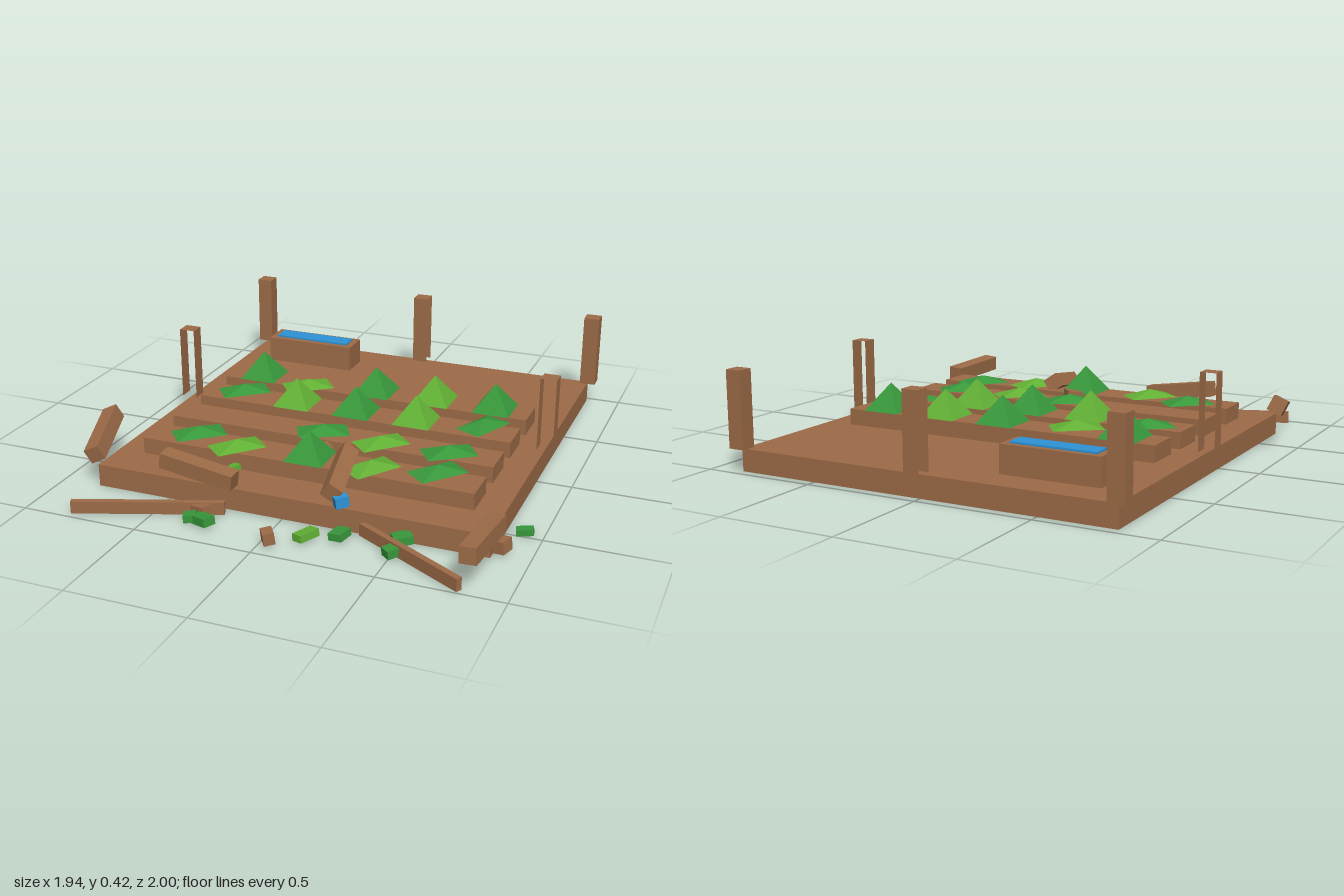
import * as THREE from 'three';

export function createModel() {
  const group = new THREE.Group();
  const mat = (name, color) => {
    const m = new THREE.MeshStandardMaterial({ color, flatShading: true, side: THREE.DoubleSide });
    m.name = name;
    return m;
  };
  const wood = mat('wood brown', 0x9c6b47);
  const dark = mat('leaf green', 0x38973b);
  const light = mat('lime green', 0x62b035);
  const water = mat('water blue', 0x2d93d6);

  const add = (name, geometry, material, x, y, z) => {
    const mesh = new THREE.Mesh(geometry, material);
    mesh.name = name;
    mesh.position.set(x, y, z);
    group.add(mesh);
    return mesh;
  };
  // Box given by its limits on each axis
  const block = (name, m, x0, x1, y0, y1, z0, z1) =>
    add(name, new THREE.BoxGeometry(x1 - x0, y1 - y0, z1 - z0), m, (x0 + x1) / 2, (y0 + y1) / 2, (z0 + z1) / 2);
  // Box that keeps only some sides: 0 +x, 1 -x, 2 +y, 3 -y, 4 +z, 5 -z
  const openBox = (w, h, d, sides) => {
    const g = new THREE.BoxGeometry(w, h, d);
    const all = Array.from(g.index.array);
    g.setIndex(sides.flatMap((s) => all.slice(s * 6, s * 6 + 6)));
    g.clearGroups();
    return g;
  };

  // Ground slab, hollow underneath
  add('groundSlab', openBox(1.68, 0.095, 1.68, [0, 1, 2, 4, 5]), wood, 0.012, 0.0475, -0.128);

  // Raised planting beds
  for (const z of [-0.315, -0.058, 0.2, 0.458]) {
    block('plantingBed', wood, -0.71, 0.735, 0.095, 0.165, z - 0.081, z + 0.081);
  }

  // Water trough
  block('trough', wood, -0.69, -0.265, 0.095, 0.212, -0.823, -0.687);
  block('troughWater', water, -0.66, -0.295, 0.212, 0.22, -0.797, -0.715);

  // Standing fence posts; the middle ones are open on two sides
  const full = [0, 1, 2, 3, 4, 5];
  const posts = [
    [-0.83, -0.967, full], [0.855, -0.967, full], [0.012, -0.967, [2, 4, 5]],
    [-0.83, -0.125, [0, 1, 2]], [0.855, -0.125, [0, 1, 2]],
  ];
  for (const [x, z, sides] of posts) {
    add('fencePost', openBox(0.07, 0.325, 0.067, sides), wood, x, 0.26, z);
  }

  // Four-sided plant cone, sides facing the axes
  const pyramid = (w, h, d) => {
    const g = new THREE.ConeGeometry(Math.SQRT1_2, 1, 4, 1);
    g.rotateY(Math.PI / 4);
    g.translate(0, 0.5, 0);
    g.scale(w, h, d);
    return g;
  };
  const upright = [
    [-0.547, -0.315, dark], [0.014, -0.315, dark], [0.293, -0.315, light], [0.573, -0.315, dark],
    [-0.267, -0.058, light], [0.014, -0.058, dark], [0.293, -0.058, light], [0.014, 0.458, dark],
  ];
  for (const [x, z, m] of upright) add('plant', pyramid(0.167, 0.118, 0.167), m, x, 0.164, z);

  // Trampled plants: x, z, heading in degrees
  const trampled = [
    [-0.303, -0.26, 38, light], [-0.547, -0.1, 40, dark], [0.58, -0.107, 66, dark],
    [-0.036, 0.2, 28, dark], [0.235, 0.222, 46, light], [0.527, 0.212, 35, dark],
    [-0.515, 0.41, 42, dark], [-0.305, 0.475, 48, light], [0.282, 0.465, 56, light], [0.543, 0.407, 50, dark],
  ];
  for (const [x, z, deg, m] of trampled) {
    const plant = add('trampledPlant', pyramid(0.215, 0.033, 0.125), m, x, 0.166, z);
    plant.rotation.y = THREE.MathUtils.degToRad(deg);
  }

  // Timber running between two points
  const timber = (name, a, b, w, h, roll = 0) => {
    const p = new THREE.Vector3(...a), q = new THREE.Vector3(...b);
    const mesh = add(name, new THREE.BoxGeometry(w, h, p.distanceTo(q)), wood, 0, 0, 0);
    mesh.position.copy(p).lerp(q, 0.5);
    mesh.lookAt(q);
    mesh.rotateZ(roll);
  };
  // Knocked-over posts
  timber('fallenPost', [-0.93, 0.195, 0.41], [-0.845, 0.135, 0.71], 0.067, 0.067, 0.45);
  timber('fallenPost', [-0.52, 0.18, 0.71], [-0.2, 0.133, 0.715], 0.067, 0.067, 0.05);
  timber('fallenPost', [0.162, 0.195, 0.41], [0.212, 0.15, 0.71], 0.067, 0.067, 0.95);
  timber('fallenPost', [0.865, 0.135, 0.67], [0.843, 0.149, 0.99], 0.067, 0.067, 0.08);
  // Fallen rails lying on edge
  timber('fallenRail', [-0.805, 0.026, 0.965], [-0.23, 0.026, 0.75], 0.026, 0.052);
  timber('fallenRail', [0.34, 0.026, 0.715], [0.815, 0.026, 0.985], 0.026, 0.052);

  // Scattered chips: x, y, z, width, height, depth, heading in degrees
  const chips = [
    [-0.265, 0.025, 0.872, 0.085, 0.035, 0.055, -25, dark],
    [-0.325, 0.022, 0.865, 0.05, 0.03, 0.05, 20, dark],
    [-0.305, 0.03, 0.805, 0.07, 0.04, 0.05, -20, wood],
    [0.277, 0.025, 0.787, 0.058, 0.03, 0.075, -10, dark],
    [0.155, 0.02, 0.83, 0.05, 0.03, 0.095, -25, light],
    [0.515, 0.03, 0.74, 0.075, 0.035, 0.06, 35, dark],
    [0.51, 0.025, 0.835, 0.07, 0.035, 0.05, 50, dark],
    [0.925, 0.014, 0.48, 0.068, 0.025, 0.042, 12, dark],
    [-0.278, 0.112, 0.57, 0.035, 0.025, 0.055, -15, light],
    [0.037, 0.035, 0.922, 0.045, 0.05, 0.06, 35, wood],
    [0.035, 0.155, 0.37, 0.07, 0.05, 0.07, 45, wood],
    [0.88, 0.03, 0.65, 0.05, 0.05, 0.065, -15, wood],
    [0.248, 0.12, 0.7, 0.055, 0.045, 0.04, 40, water],
  ];
  for (const [x, y, z, w, h, d, deg, m] of chips) {
    const chip = add('chip', new THREE.BoxGeometry(w, h, d), m, x, y, z);
    chip.rotation.set(0, THREE.MathUtils.degToRad(deg), 0.12);
  }

  return group;
}
